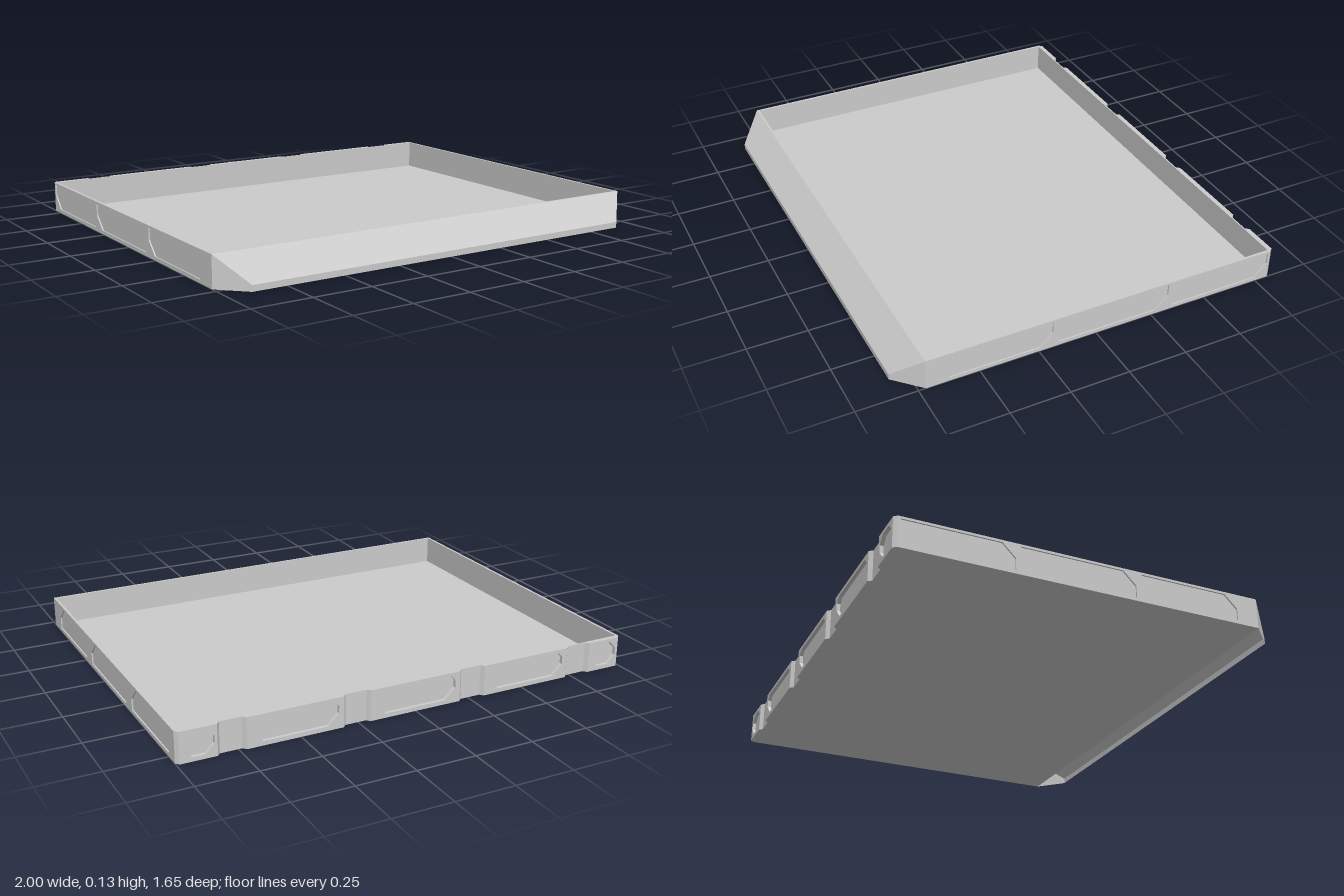
import * as THREE from 'three';

const H = 0.13, BACK = -0.825, REAR = -0.81, FRONT = 0.72, TIP = 0.825, LIP = 0.025;

const polygon = (pts, Type = THREE.Shape) => new Type(pts.map(([x, y]) => new THREE.Vector2(x, y)));
const rect = (x0, x1, y0, y1) => [[x0, y0], [x1, y0], [x1, y1], [x0, y1]];

export function createModel() {
  const group = new THREE.Group();
  const solid = new THREE.MeshStandardMaterial({ color: 0xcccccc, flatShading: true });
  const sheet = new THREE.MeshStandardMaterial({ color: 0xcccccc, flatShading: true, side: THREE.DoubleSide });

  const add = (name, geometry, material = solid) => {
    const mesh = new THREE.Mesh(geometry, material);
    mesh.name = name;
    group.add(mesh);
    return mesh;
  };
  const box = (name, x0, x1, y0, y1, z0, z1) =>
    add(name, new THREE.BoxGeometry(x1 - x0, y1 - y0, z1 - z0))
      .position.set((x0 + x1) / 2, (y0 + y1) / 2, (z0 + z1) / 2);
  const extrude = (outline, holes, depth) => {
    const shape = polygon(outline);
    shape.holes = holes.map((h) => polygon(h, THREE.Path));
    return new THREE.ExtrudeGeometry(shape, { depth, bevelEnabled: false });
  };
  // Flat convex face from its corners, as a fan
  const face = (name, corners) => {
    const g = new THREE.BufferGeometry().setFromPoints(corners.map((c) => new THREE.Vector3(...c)));
    g.setIndex(corners.slice(2).flatMap((_, i) => [0, i + 1, i + 2]));
    g.computeVertexNormals();
    add(name, g, sheet);
  };

  // Tray floor and inner walls
  box('floor', -0.994, 0.994, 0, 0.005, REAR, FRONT);
  box('backInnerWall', -0.994, 0.994, 0.005, H, REAR, -0.804);
  box('frontInnerWall', -0.994, 0.994, 0.005, H, 0.71, FRONT);

  // Side walls with three shallow slanted recesses each
  const panels = [[0.19, 0.625], [-0.325, 0.165], [-0.8, -0.345]].map(([a, b]) => [
    [a, 0.12], [a, 0.07], [a + 0.055, 0.015], [b, 0.015], [b, 0.065], [b - 0.055, 0.12],
  ]);
  for (const s of [1, -1]) {
    const side = s > 0 ? 'left' : 'right';
    const g = extrude(rect(REAR, FRONT, 0, H), panels, 0.006);
    g.rotateY(-Math.PI / 2).translate(s > 0 ? 1 : -0.994, 0, 0);
    add(side + 'SideWall', g);
    const x = [s * 0.994, s * 0.989].sort((a, b) => a - b);
    box(side + 'InnerWall', x[0], x[1], 0.005, H, -0.804, 0.71);
  }

  // Back blocks: slanted ends leave grooves between them, each has a recess
  const backBlock = (x0, x1, margin, low, high) => {
    const a = x0 + margin, b = x1 - margin, y0 = 0.018, y1 = 0.115;
    const recess = [
      [a + low, y0], [b - low, y0], [b, y0 + low], [b, y1 - high],
      [b - high, y1], [a + high, y1], [a, y1 - high], [a, y0 + low],
    ];
    const g = extrude(rect(x0, x1, 0, H), [recess], REAR - BACK);
    const p = g.attributes.position;
    for (let i = 0; i < p.count; i++) {
      if (p.getZ(i) > 1e-4) continue;
      if (Math.abs(p.getX(i) - x0) < 1e-4) p.setX(i, x0 + 0.013);
      if (Math.abs(p.getX(i) - x1) < 1e-4) p.setX(i, x1 - 0.013);
    }
    g.translate(0, 0, BACK).computeVertexNormals();
    add('backBlock', g);
  };
  for (const c of [-0.52, 0, 0.52]) backBlock(c - 0.215, c + 0.215, 0.035, 0.045, 0.02);
  for (const c of [-0.9125, 0.9125]) backBlock(c - 0.0875, c + 0.0875, 0.025, 0.035, 0.03);

  // Hollow sloping front, open underneath
  const w = 0.895;
  face('frontSlope', [[-w, LIP, TIP], [w, LIP, TIP], [1, H, FRONT], [-1, H, FRONT]]);
  face('frontLip', [[-w, 0, TIP], [w, 0, TIP], [w, LIP, TIP], [-w, LIP, TIP]]);
  face('leftFrontCorner', [[w, 0, TIP], [1, 0, FRONT], [1, H, FRONT], [w, LIP, TIP]]);
  face('rightFrontCorner', [[-1, 0, FRONT], [-w, 0, TIP], [-w, LIP, TIP], [-1, H, FRONT]]);

  return group;
}
